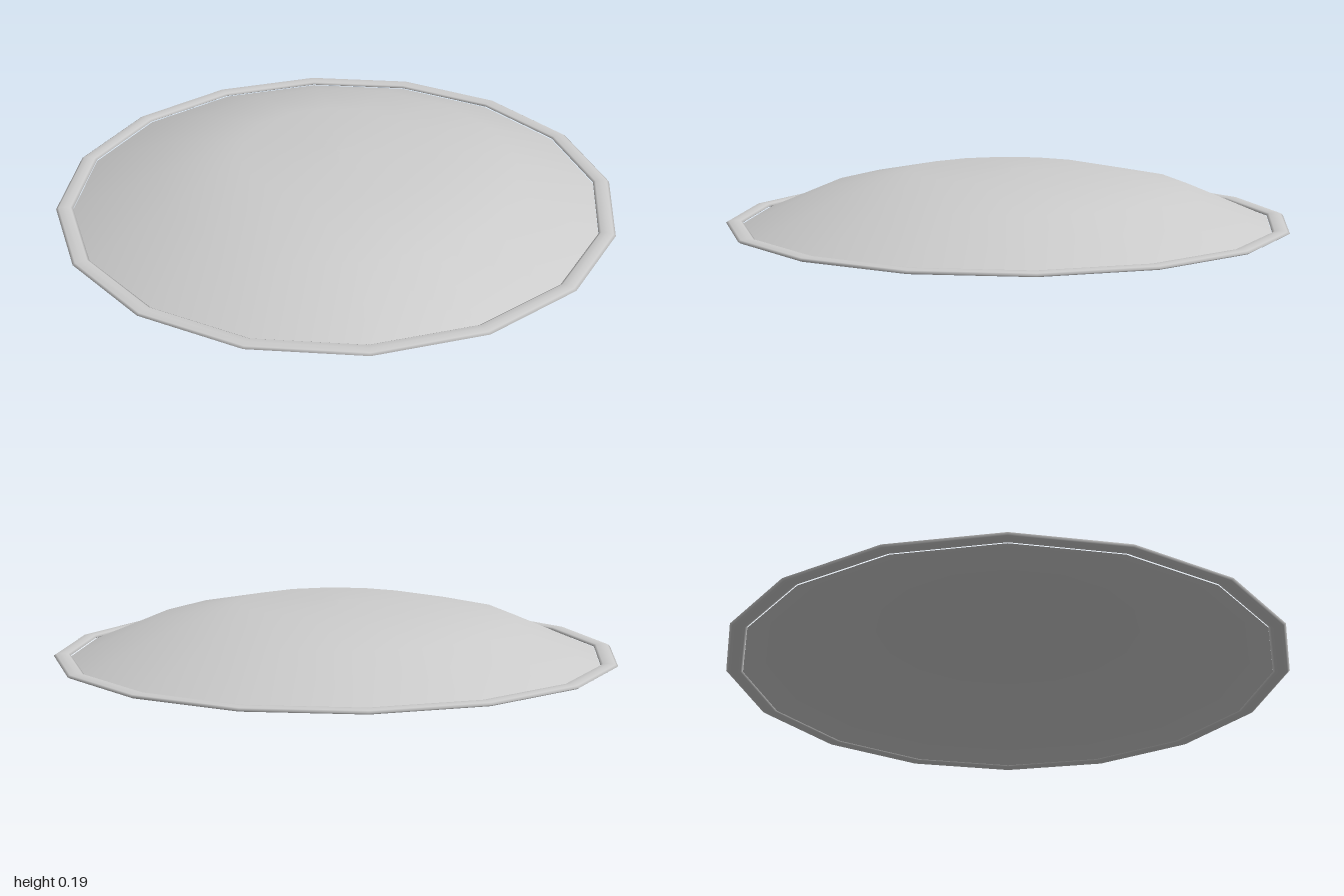
import * as THREE from 'three';

const SIDES = 16;

export function createModel() {
  const group = new THREE.Group();
  const material = new THREE.MeshStandardMaterial({ color: 0xcccccc, side: THREE.DoubleSide });

  // Shallow dome shell, open underneath; profile runs from the edge to the crown
  const profile = [[0.94, 0.004], [0.65, 0.126], [0.35, 0.185], [0, 0.191]]
    .map(([r, y]) => new THREE.Vector2(r, y));
  const dome = new THREE.Mesh(new THREE.LatheGeometry(profile, SIDES), material);
  dome.name = 'dome';
  group.add(dome);

  // Flattened ring around the edge of the dome
  const ring = new THREE.TorusGeometry(0.97, 0.03, 8, SIDES);
  ring.rotateX(-Math.PI / 2);
  ring.scale(1, 0.27, 1);
  ring.translate(0, 0.0081, 0);
  const rim = new THREE.Mesh(ring, material);
  rim.name = 'rim';
  group.add(rim);

  return group;
}
